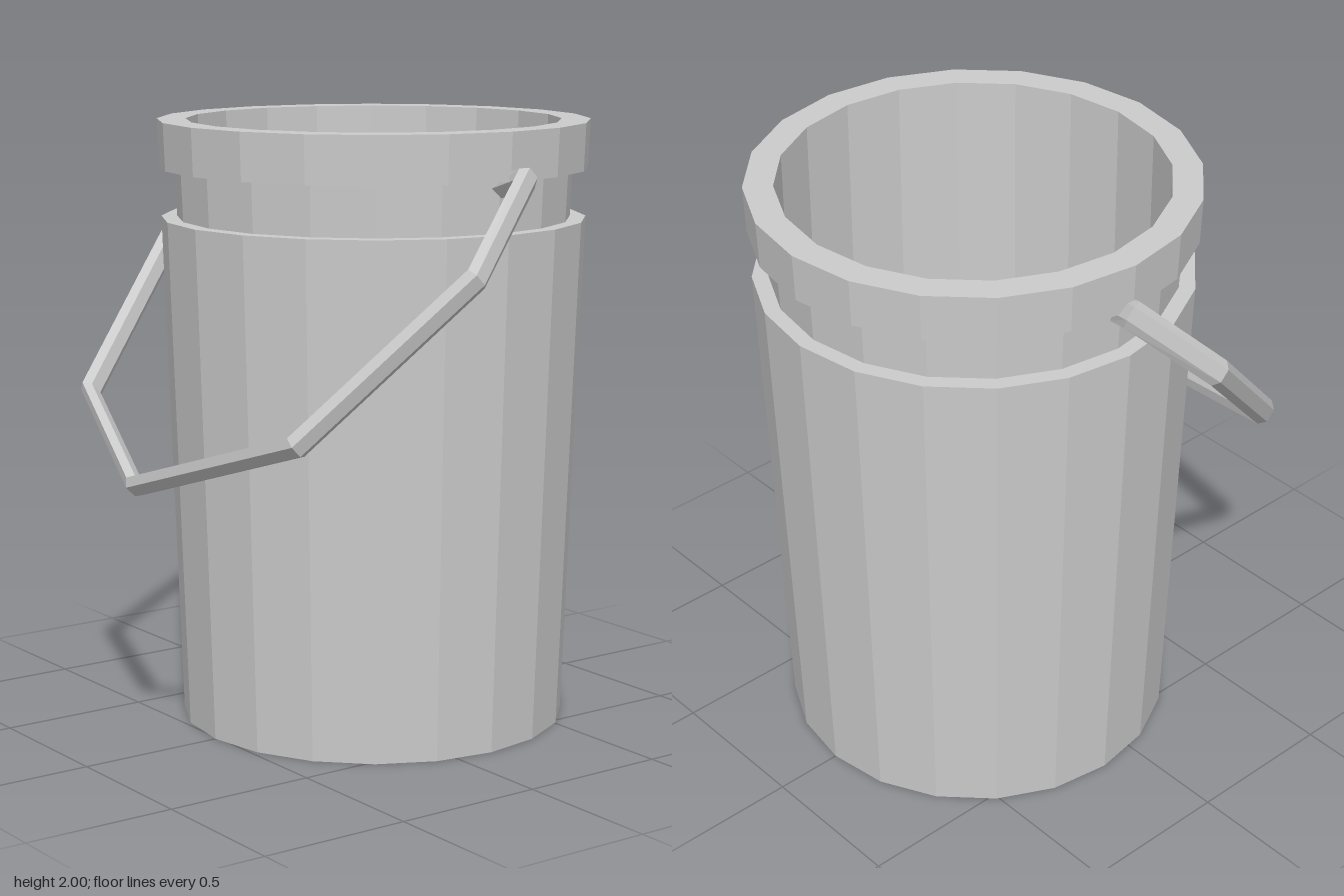
import * as THREE from 'three';

const grey = () => new THREE.MeshStandardMaterial({ color: 0xcccccc, flatShading: true });

// Squashed hexagonal bar swept along a path lying in the plane with normal n
function sweepBar(path, n, wide, thin) {
  const sides = 6, last = path.length - 1;
  const dir = i => path[i + 1].clone().sub(path[i]).normalize();
  const pos = [], index = [];
  path.forEach((p, i) => {
    const a = dir(Math.max(i - 1, 0)), b = dir(Math.min(i, last - 1));
    const t = a.clone().add(b).normalize();
    const m = n.clone().cross(t).multiplyScalar(Math.min(1 / t.dot(b), 1.25));
    for (let j = 0; j < sides; j++) {
      const ang = (j / sides) * Math.PI * 2 + Math.PI / 6;
      const v = p.clone().addScaledVector(m, Math.cos(ang) * thin).addScaledVector(n, Math.sin(ang) * wide);
      pos.push(v.x, v.y, v.z);
    }
  });
  for (let i = 0; i < last; i++) {
    for (let j = 0; j < sides; j++) {
      const k = (j + 1) % sides, r = i * sides, s = r + sides;
      index.push(r + j, r + k, s + j, r + k, s + k, s + j);
    }
  }
  // End caps
  for (let j = 1; j < sides - 1; j++) {
    const e = last * sides;
    index.push(0, j + 1, j, e, e + j, e + j + 1);
  }
  const g = new THREE.BufferGeometry();
  g.setAttribute('position', new THREE.Float32BufferAttribute(pos, 3));
  g.setIndex(index);
  const flat = g.toNonIndexed();
  flat.computeVertexNormals();
  return flat;
}

export function createModel() {
  const group = new THREE.Group();

  // Bucket: tapered wall, recessed neck, rim, hollow inside with a floor
  const profile = [
    [0, 0], [0.642, 0], [0.70, 1.68], [0.648, 1.68], [0.655, 1.845], [0.706, 1.845],
    [0.712, 2], [0.617, 2], [0.617, 0.05], [0, 0.05],
  ].map(([r, y]) => new THREE.Vector2(r, y));
  const bucket = new THREE.Mesh(new THREE.LatheGeometry(profile, 20), grey());
  bucket.position.z = -0.13;
  bucket.name = 'bucket';
  group.add(bucket);

  // Handle: bent bar leaning forward at 45 degrees, its ends hooked into the neck
  const half = [[0.635, 1.818], [0.738, 1.857], [0.84, 1.578], [0.6, 1.083]];
  const outline = [...half, [0, 0.885], ...half.map(([x, y]) => [-x, y]).reverse()];
  const path = outline.map(([x, y]) => new THREE.Vector3(x, y, 1.69 - y));
  const normal = new THREE.Vector3(0, 1, 1).normalize();
  const handle = new THREE.Mesh(sweepBar(path, normal, 0.045, 0.025), grey());
  handle.name = 'handle';
  group.add(handle);

  return group;
}
